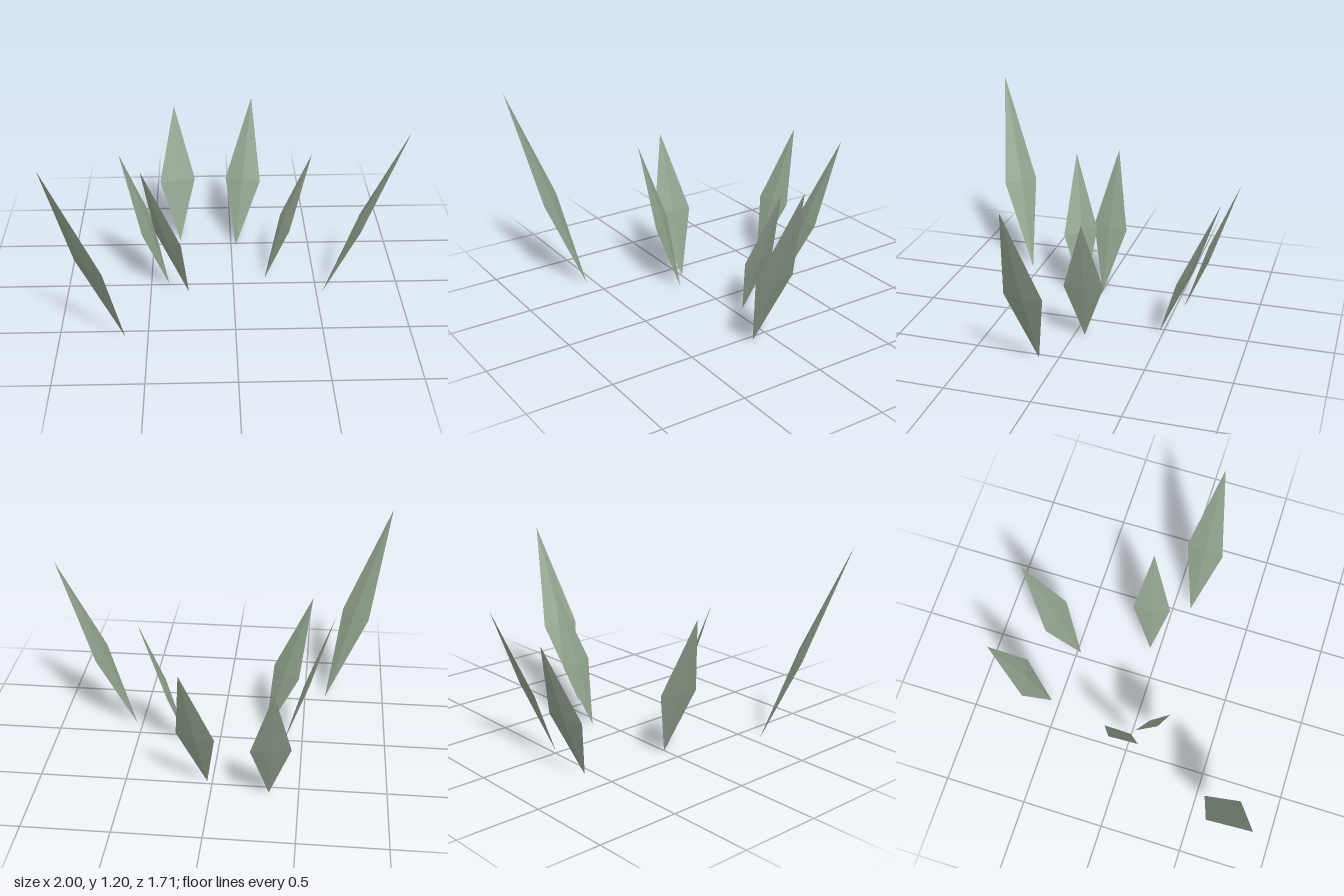
import * as THREE from 'three';

const V = (p) => new THREE.Vector3(...p);

// base, tip, and the two wide corners of each blade
const BLADES = [
  [[-0.63, 0, 0.55], [-1, 1.195, 0.855], [-0.88, 0.54, 0.605], [-0.72, 0.54, 0.765]],
  [[-0.39, 0, -0.005], [-0.665, 0.87, -0.03], [-0.49, 0.4, 0.13 * -1], [-0.54, 0.4, 0.095]],
  [[-0.27, 0, 0.085], [-0.53, 0.87, 0.21], [-0.465, 0.4, 0.055], [-0.31, 0.4, 0.225]],
  [[-0.33, 0, -0.55], [-0.36, 0.825, -0.857], [-0.455, 0.37, -0.665], [-0.23, 0.375, -0.71]],
  [[0.03, 0, -0.475], [0.14, 0.89, -0.825], [-0.03, 0.4, -0.66], [0.19, 0.4, -0.6]],
  [[0.195, 0, -0.06], [0.47, 0.815, -0.12], [0.295, 0.37, -0.2], [0.335, 0.375, 0.025]],
  [[0.535, 0, 0.11], [1, 1.065, 0.145], [0.755, 0.48, 0.01], [0.73, 0.48, 0.24]],
];

// Flattened octahedron stretched between the blade's corners
function bladeGeometry(base, tip, left, right) {
  const middle = left.clone().add(right).multiplyScalar(0.5);
  const side = right.clone().sub(middle);
  const up = tip.clone().sub(middle);
  const down = base.clone().sub(middle);
  const thick = side.clone().cross(tip.clone().sub(base)).normalize()
    .multiplyScalar(side.length() * 0.13);
  const geometry = new THREE.OctahedronGeometry(1);
  const pos = geometry.attributes.position;
  for (let i = 0; i < pos.count; i++) {
    const x = pos.getX(i), y = pos.getY(i), z = pos.getZ(i);
    const p = middle.clone()
      .addScaledVector(side, x)
      .addScaledVector(y > 0 ? up : down, Math.abs(y))
      .addScaledVector(thick, z);
    pos.setXYZ(i, p.x, p.y, p.z);
  }
  geometry.computeVertexNormals();
  return geometry;
}

export function createModel() {
  const group = new THREE.Group();
  group.name = 'bladeCluster';
  const sage = new THREE.MeshStandardMaterial({ color: 0x8fa08c });
  sage.name = 'sageGreen';
  sage.flatShading = true;
  BLADES.forEach((corners, i) => {
    const blade = new THREE.Mesh(bladeGeometry(...corners.map(V)), sage);
    blade.name = `blade${i + 1}`;
    group.add(blade);
  });
  return group;
}
